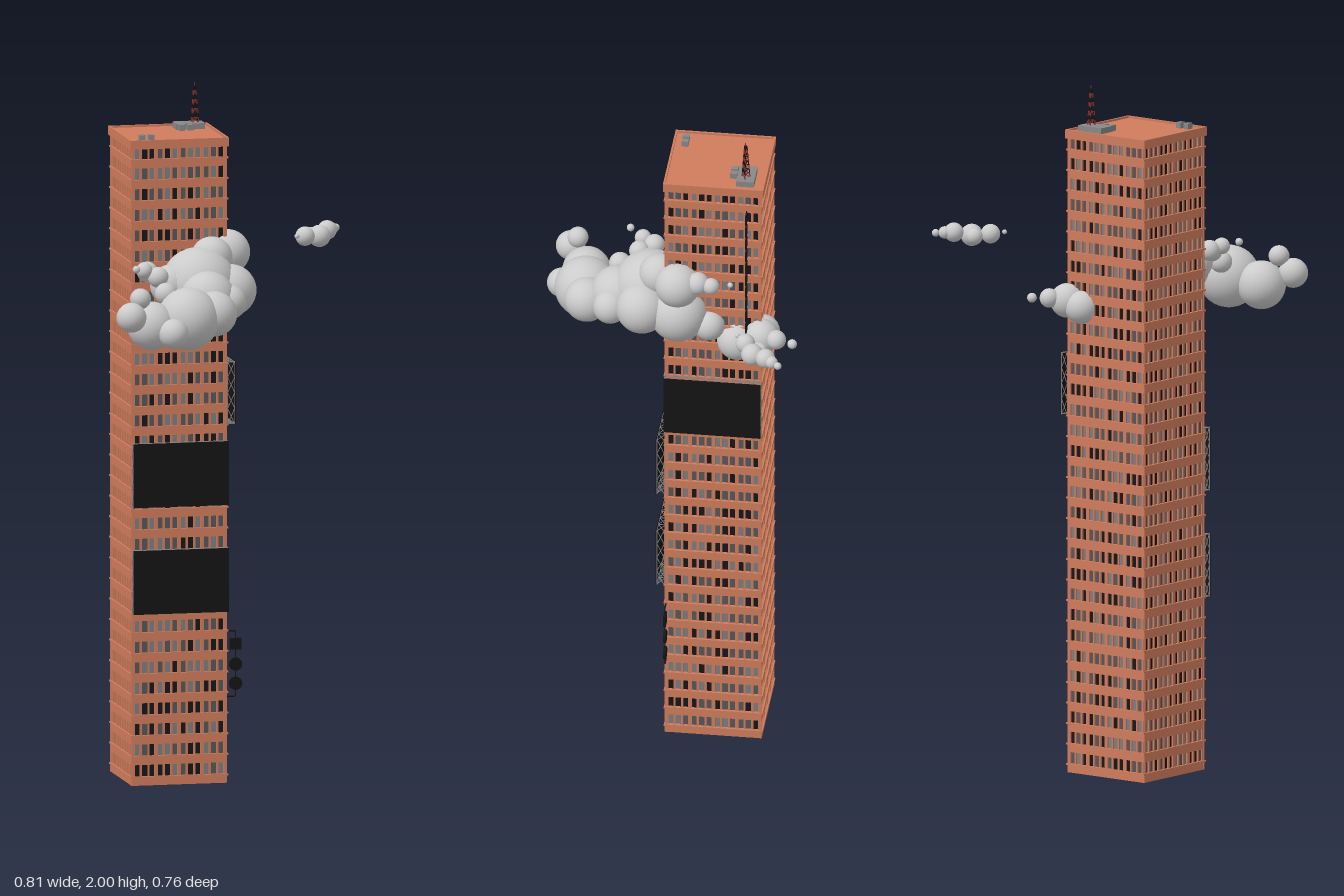
import * as THREE from 'three';
import { mergeGeometries } from 'three/addons/utils/BufferGeometryUtils.js';

const mat = (color, side = THREE.FrontSide) => new THREE.MeshStandardMaterial({ color, side });
const BRICK = mat(0xd07c5c), GREY = mat(0xcccccc), METAL = mat(0x888888), BLACK = mat(0x141414), RED = mat(0x8a2f2a);
const PANES = [0x16161a, 0x55565a, 0x7d7d80].map((c) => mat(c, THREE.DoubleSide));

const CX = -0.15, CZ = -0.132, HALF = 0.14;   // tower centre and half width
const FLOORS = 31, PITCH = 0.0597, BAND = 0.026;

const box = (w, h, d, x, y, z) => new THREE.BoxGeometry(w, h, d).translate(x, y, z);
const ball = (x, y, z, r) => new THREE.SphereGeometry(r, 28, 18).translate(x, y, z);

// Thin rod between two points
function rod(a, b, r = 0.0012) {
  const A = new THREE.Vector3(...a), B = new THREE.Vector3(...b), dir = B.clone().sub(A);
  const q = new THREE.Quaternion().setFromUnitVectors(new THREE.Vector3(0, 1, 0), dir.clone().normalize());
  return new THREE.CylinderGeometry(r, r, dir.length(), 5)
    .applyQuaternion(q).translate(...A.add(B).multiplyScalar(0.5).toArray());
}

function add(parent, name, geos, material) {
  const mesh = new THREE.Mesh(mergeGeometries(geos), material);
  mesh.name = name;
  parent.add(mesh);
  return mesh;
}

function makeRandom(seed) {
  return () => (seed = (seed * 16807) % 2147483647) / 2147483647;
}

// Four identical walls of floor bands, sills, piers and recessed panes
function buildTower() {
  const tower = new THREE.Group();
  tower.name = 'tower';
  tower.position.set(CX, 0, CZ);
  const rand = makeRandom(77), bays = 12, bay = 0.27 / bays;
  const top = FLOORS * PITCH, wall = [], panes = [[], [], []];
  for (let side = 0; side < 4; side++) {
    const put = (list, g) => list.push(g.rotateY(side * Math.PI / 2));
    for (let i = 0; i <= bays; i++) {
      const w = i % 3 === 0 ? 0.011 : 0.006;
      put(wall, box(w, top, 0.006, -0.135 + i * bay, top / 2, HALF - 0.004));
    }
    for (let f = 0; f < FLOORS; f++) {
      const y = f * PITCH;
      put(wall, box(HALF * 2, BAND, 0.008, 0, y + BAND / 2, HALF - 0.004));
      put(wall, box(HALF * 2 + 0.006, 0.005, 0.01, 0, y + BAND - 0.002, HALF - 0.002));
      for (let i = 0; i < bays; i++) {
        const pane = new THREE.PlaneGeometry(bay, PITCH - BAND)
          .translate(-0.135 + (i + 0.5) * bay, y + (PITCH + BAND) / 2, HALF - 0.006);
        put(panes[Math.floor(rand() * 3)], pane);
      }
    }
    // Cornice and parapet
    put(wall, box(0.29, 0.026, 0.006, 0, 1.86, 0.142));
  }
  add(tower, 'walls', wall, BRICK);
  panes.forEach((list, i) => add(tower, 'windows' + (i + 1), list, PANES[i]));
  add(tower, 'roof', [box(0.284, 0.018, 0.284, 0, 1.858, 0)], BRICK);
  return tower;
}

// Blank panel facing +z, carried on a braced frame behind it
function buildBillboard(name, y0, y1) {
  const g = new THREE.Group(), w = 0.139, rods = [], n = 8, rows = 4;
  g.name = name;
  add(g, 'panel', [box(0.28, y1 - y0, 0.003, 0, (y0 + y1) / 2, 0.165)], BLACK);
  const back = 0.142, front = 0.163;
  for (const y of [y0 + 0.002, y1 - 0.002]) {
    for (const z of [back, front]) rods.push(rod([-w, y, z], [w, y, z]));
    for (let i = 0; i < n; i++) {
      const a = -w + i * 2 * w / n, b = a + 2 * w / n;
      rods.push(rod([a, y, back], [b, y, front]), rod([a, y, front], [b, y, back]), rod([a, y, back], [a, y, front]));
    }
  }
  for (const x of [-w, w]) {
    for (const z of [back, front]) rods.push(rod([x, y0, z], [x, y1, z]));
    for (let i = 0; i < rows; i++) {
      const a = y0 + i * (y1 - y0) / rows, b = a + (y1 - y0) / rows;
      rods.push(rod([x, a, back], [x, b, front]), rod([x, a, front], [x, b, back]));
    }
  }
  add(g, 'supportFrame', rods, METAL);
  g.position.set(CX, 0, CZ);
  return g;
}

// Tall blank sign of stacked open frames on the left wall
function buildVerticalSign() {
  const geos = [], z = -0.23, x = 0.013;
  for (let i = 0; i < 11; i++) {
    const y = 1.785 - i * 0.041;
    for (const s of [-1, 1]) {
      geos.push(box(0.007, 0.032, 0.004, x + s * 0.009, y, z));
      geos.push(box(0.025, 0.007, 0.004, x, y + s * 0.0125, z));
    }
    geos.push(rod([-0.012, y, z], [0.004, y, z]));
  }
  geos.push(rod([0.002, 1.36, z], [0.002, 1.805, z], 0.0015));
  return geos;
}

// Hanging sign: one square and two discs on a bracket
function buildHangingSign() {
  const z = 0.004, geos = [box(0.033, 0.033, 0.008, 0.016, 0.402, z)];
  for (const y of [0.343, 0.287]) {
    geos.push(new THREE.CylinderGeometry(0.019, 0.019, 0.008, 24).rotateX(Math.PI / 2).translate(0.016, y, z));
  }
  for (const y of [0.25, 0.44]) geos.push(rod([-0.012, y, z], [0.016, y, z], 0.002));
  geos.push(rod([0.016, 0.25, z], [0.016, 0.44, z], 0.002));
  return geos;
}

// Three-legged lattice mast in alternating colours
function buildMast() {
  const g = new THREE.Group(), parts = [[], []], n = 8, y0 = 1.884, h = 0.105;
  g.name = 'mast';
  const corner = (level, k) => {
    const r = 0.013 - 0.009 * level / n, a = k * Math.PI * 2 / 3;
    return [-0.055 + r * Math.cos(a), y0 + h * level / n, -0.22 + r * Math.sin(a)];
  };
  for (let i = 0; i < n; i++) {
    for (let k = 0; k < 3; k++) {
      parts[i % 2].push(rod(corner(i, k), corner(i + 1, k), 0.0016),
        rod(corner(i, k), corner(i + 1, k + 1)), rod(corner(i + 1, k), corner(i + 1, k + 1)));
    }
  }
  parts[0].push(rod([-0.055, y0 + h, -0.22], [-0.055, 2, -0.22], 0.0015));
  add(g, 'mastRed', parts[0], RED);
  add(g, 'mastDark', parts[1], BLACK);
  return g;
}

// Puffs as [x, y, z, radius]
const FRONT_PUFFS = [
  [-0.362, 1.41, 0.325, 0.043], [-0.29, 1.375, 0.27, 0.07], [-0.18, 1.39, 0.258, 0.09],
  [-0.1, 1.4, 0.245, 0.065], [-0.24, 1.36, 0.335, 0.043], [-0.33, 1.46, 0.3, 0.03],
  [-0.1, 1.43, 0.155, 0.08], [-0.04, 1.42, 0.17, 0.05], [-0.105, 1.455, 0.06, 0.11],
  [-0.19, 1.46, 0.075, 0.06], [-0.225, 1.45, 0.165, 0.032], [-0.015, 1.44, 0.075, 0.075]];
const SIDE_PUFFS = [
  [-0.02, 1.43, -0.03, 0.085], [0, 1.535, -0.03, 0.065], [-0.06, 1.53, 0.03, 0.06],
  [0.025, 1.555, -0.13, 0.024], [0.015, 1.555, -0.09, 0.033], [0.02, 1.56, -0.185, 0.008],
  [-0.01, 1.4, -0.12, 0.045], [-0.03, 1.345, -0.2, 0.06], [-0.06, 1.36, -0.27, 0.048],
  [-0.01, 1.375, -0.272, 0.05], [0.02, 1.385, -0.318, 0.028], [0.045, 1.39, -0.367, 0.014]];
const SMALL_PUFFS = [
  [-0.258, 1.5, 0.07, 0.03], [-0.275, 1.51, 0.105, 0.024], [-0.235, 1.49, 0.11, 0.03], [-0.307, 1.52, 0.145, 0.011]];
const FAR_PUFFS = [
  [0.28, 1.535, -0.262, 0.028], [0.328, 1.53, -0.288, 0.032], [0.305, 1.53, -0.305, 0.024],
  [0.36, 1.54, -0.33, 0.028], [0.378, 1.54, -0.35, 0.018], [0.395, 1.54, -0.37, 0.011], [0.25, 1.54, -0.235, 0.007]];

export function createModel() {
  const model = new THREE.Group();
  model.name = 'cloudTower';
  model.add(buildTower());

  model.add(buildBillboard('lowerFrontBillboard', 0.5, 0.685));
  model.add(buildBillboard('upperFrontBillboard', 0.81, 0.995));
  const side = buildBillboard('sideBillboard', 1.04, 1.222);
  side.rotation.y = Math.PI / 2;
  model.add(side);

  add(model, 'verticalSign', buildVerticalSign(), BLACK);
  add(model, 'hangingSign', buildHangingSign(), BLACK);

  // Rooftop plant
  add(model, 'roofPlatform', [box(0.085, 0.018, 0.052, -0.071, 1.875, -0.221)], METAL);
  add(model, 'roofVents', [[-0.101, -0.183], [-0.076, -0.183], [-0.253, -0.023], [-0.226, -0.023]]
    .map(([x, z]) => box(0.016, 0.018, 0.02, x, 1.875, z)), METAL);
  model.add(buildMast());

  const clouds = { frontCloud: FRONT_PUFFS, sideCloud: SIDE_PUFFS, smallCloud: SMALL_PUFFS, farCloud: FAR_PUFFS };
  for (const [name, puffs] of Object.entries(clouds)) add(model, name, puffs.map((p) => ball(...p)), GREY);
  return model;
}
